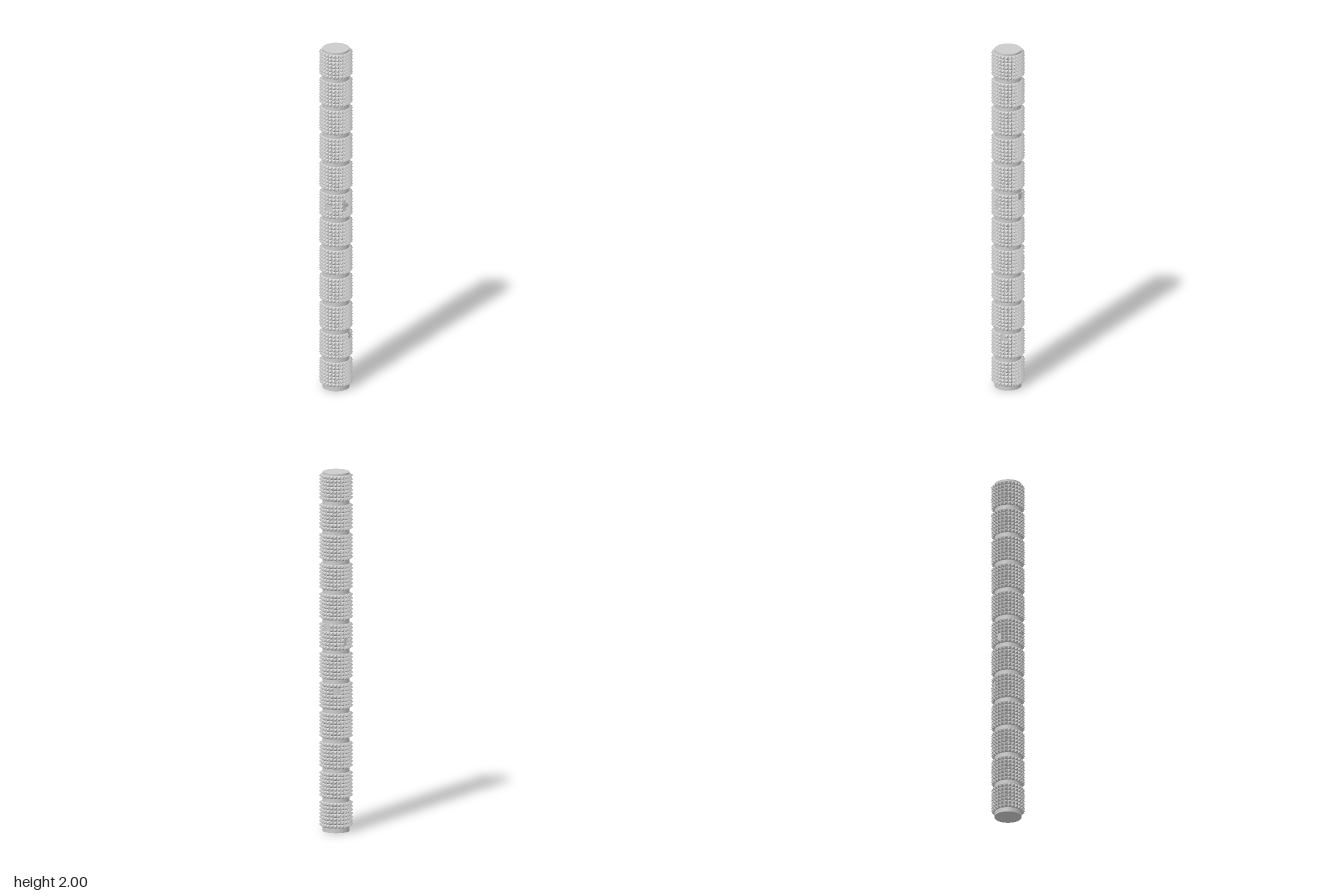
import * as THREE from 'three';

const BANDS = 12, ROWS = 7, STUDS = 25;
const START = 0.026, PITCH = 0.1655, BAND_H = 0.142;
const R_CORE = 0.074, R_BASE = 0.078, R_TIP = 0.0935;

// Worn spots where studs are missing: [x direction, z direction, height, radius]
const WORN = [
  [-0.45, 0.9, 1.08, 0.026], [0.65, 0.75, 1.09, 0.024], [-0.7, -0.7, 1.06, 0.016],
  [0.6, -0.8, 1.14, 0.018], [0.93, 0.37, 0.31, 0.018], [-0.05, -1, 0.79, 0.02],
];

const onRod = (r, a, y) => new THREE.Vector3(r * Math.sin(a), y, -r * Math.cos(a));

function isWorn(a, y) {
  const p = onRod(R_BASE, a, y);
  return WORN.some(([x, z, h, r]) => {
    const s = R_BASE / Math.hypot(x, z);
    return p.distanceTo(new THREE.Vector3(x * s, h, z * s)) < r;
  });
}

// One band of four-sided pyramid studs, in rows around the rod
function studBand(y0) {
  const pos = [];
  const da = Math.PI / STUDS, dy = BAND_H / ROWS / 2;
  for (let row = 0; row < ROWS; row++) {
    const y = y0 + dy * (2 * row + 1);
    for (let i = 0; i < STUDS; i++) {
      const a = 2 * da * i;
      if (isWorn(a, y)) continue;
      const tip = onRod(R_TIP, a, y);
      const base = [[-1, -1], [-1, 1], [1, 1], [1, -1]].map(([u, v]) => onRod(R_BASE, a + u * da, y + v * dy));
      for (let k = 0; k < 4; k++) {
        for (const p of [base[k], base[(k + 1) % 4], tip]) pos.push(p.x, p.y, p.z);
      }
    }
  }
  const g = new THREE.BufferGeometry();
  g.setAttribute('position', new THREE.Float32BufferAttribute(pos, 3));
  g.computeVertexNormals();
  return g;
}

export function createModel() {
  const group = new THREE.Group();
  const flat = new THREE.MeshStandardMaterial({ color: 0xcccccc, flatShading: true, side: THREE.DoubleSide });
  const smooth = new THREE.MeshStandardMaterial({ color: 0xcccccc });

  const add = (name, geometry, material) => {
    const mesh = new THREE.Mesh(geometry, material);
    mesh.name = name;
    group.add(mesh);
    return mesh;
  };

  // Plain round core, seen at the ends and in the grooves
  add('core', new THREE.CylinderGeometry(R_CORE, R_CORE, 2, 64), smooth).position.y = 1;

  for (let b = 0; b < BANDS; b++) {
    const y0 = START + b * PITCH;
    // Raised sleeve beneath the studs
    const sleeve = new THREE.CylinderGeometry(R_BASE - 0.0006, R_BASE - 0.0006, BAND_H, STUDS * 2);
    add('sleeve' + (b + 1), sleeve, smooth).position.y = y0 + BAND_H / 2;
    add('studBand' + (b + 1), studBand(y0), flat);
  }
  return group;
}
